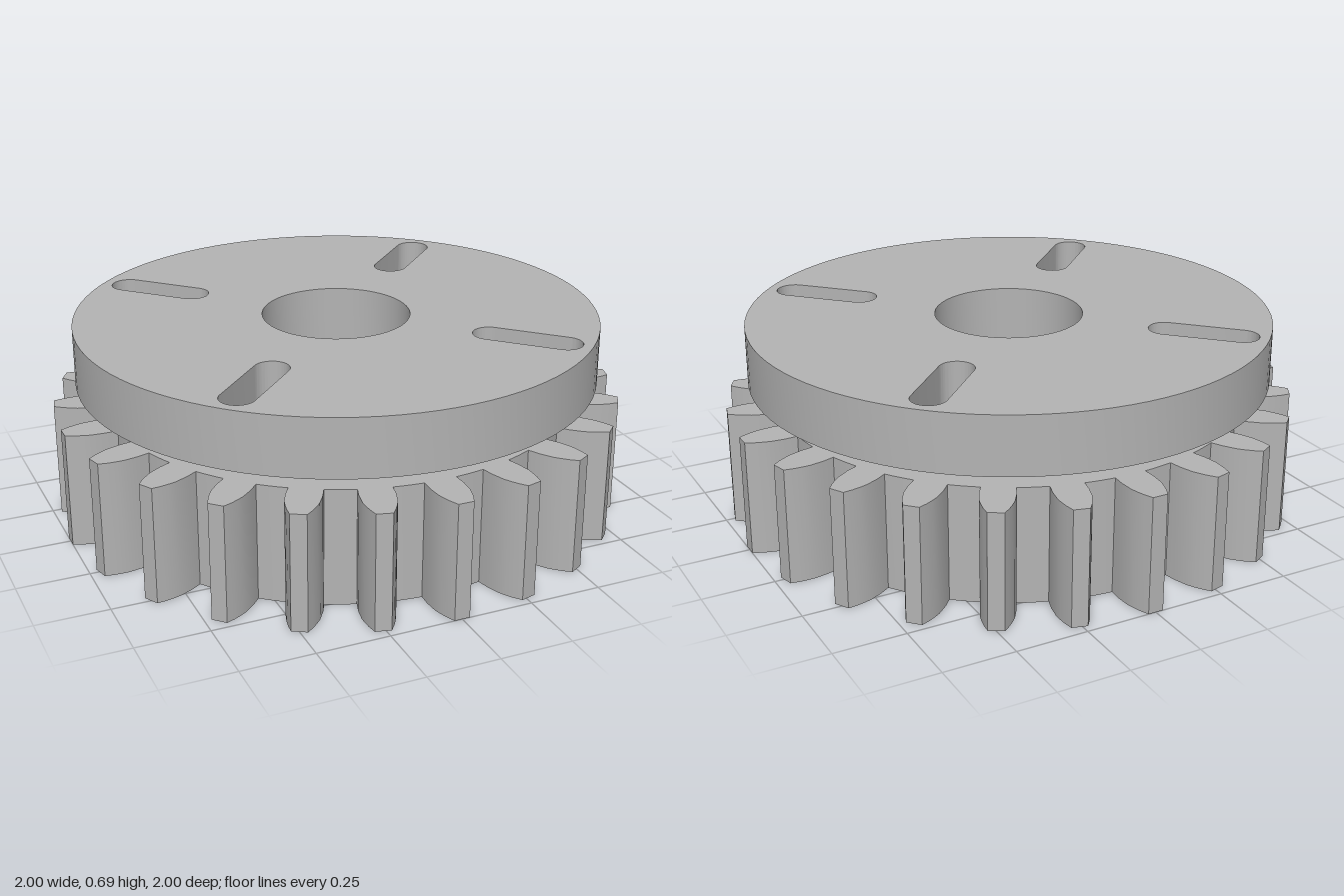
import * as THREE from 'three';
import { toCreasedNormals } from 'three/addons/utils/BufferGeometryUtils.js';

const TEETH = 24, BORE = 0.26, DISC_R = 0.92, HUB_R = 0.512;
const SLOT_IN = 0.563, SLOT_OUT = 0.825, SLOT_R = 0.06;

const polar = (r, a) => new THREE.Vector2(r * Math.cos(a), r * Math.sin(a));

// Adds the central bore to a flat outline
function withBore(shape) {
  shape.holes.push(new THREE.Path().absarc(0, 0, BORE, 0, Math.PI * 2, true));
  return shape;
}

// Stands a flat outline up between two heights
function slab(name, shape, y0, y1, material) {
  let geo = new THREE.ExtrudeGeometry(shape, { depth: y1 - y0, bevelEnabled: false, curveSegments: 48 });
  geo.rotateX(-Math.PI / 2).translate(0, y0, 0);
  geo = toCreasedNormals(geo, 0.5);
  const mesh = new THREE.Mesh(geo, material);
  mesh.name = name;
  return mesh;
}

// Spur gear outline: [radius, half width] up one tooth flank, mirrored down the other
function gearShape() {
  const flank = [[0.827, 0.056], [0.87, 0.0585], [0.92, 0.055], [0.945, 0.0485], [0.97, 0.0405], [1, 0.027]];
  const pitch = Math.PI * 2 / TEETH;
  const rootHalf = Math.asin(flank[0][1] / flank[0][0]);
  const pts = [];
  for (let i = 0; i < TEETH; i++) {
    const a = i * pitch;
    for (const [r, w] of flank) pts.push(polar(r, a - Math.asin(w / r)));
    for (const [r, w] of [...flank].reverse()) pts.push(polar(r, a + Math.asin(w / r)));
    // rounded floor of the gap
    for (let k = 1; k < 4; k++) {
      pts.push(polar(flank[0][0], a + rootHalf + (pitch - 2 * rootHalf) * k / 4));
    }
  }
  return withBore(new THREE.Shape(pts));
}

// Disc with four radial slots on the diagonals
function discShape() {
  const shape = new THREE.Shape().absarc(0, 0, DISC_R, 0, Math.PI * 2, false);
  for (let i = 0; i < 4; i++) {
    const a = Math.PI / 4 + i * Math.PI / 2;
    const p = polar(SLOT_IN, a), q = polar(SLOT_OUT, a);
    const slot = new THREE.Path();
    slot.absarc(q.x, q.y, SLOT_R, a - Math.PI / 2, a + Math.PI / 2, false);
    slot.absarc(p.x, p.y, SLOT_R, a + Math.PI / 2, a + Math.PI * 1.5, false);
    slot.closePath();
    shape.holes.push(slot);
  }
  return withBore(shape);
}

// Hub circle bitten by the inner ends of the slots
function notchedHubShape() {
  const half = Math.acos((SLOT_IN ** 2 + HUB_R ** 2 - SLOT_R ** 2) / (2 * SLOT_IN * HUB_R));
  const bite = Math.asin(HUB_R * Math.sin(half) / SLOT_R);
  const pts = [];
  for (let i = 0; i < 4; i++) {
    const a = Math.PI / 4 + i * Math.PI / 2;
    const c = polar(SLOT_IN, a);
    for (let k = 0; k <= 8; k++) {
      pts.push(polar(SLOT_R, a + Math.PI + bite * (1 - k / 4)).add(c));
    }
    for (let k = 1; k < 16; k++) {
      pts.push(polar(HUB_R, a + half + (Math.PI / 2 - 2 * half) * k / 16));
    }
  }
  return withBore(new THREE.Shape(pts));
}

export function createModel() {
  const group = new THREE.Group();
  group.name = 'slottedGear';
  const steel = new THREE.MeshStandardMaterial({ color: 0xb4b4b4 });
  steel.name = 'steelGrey';

  const hubCircle = withBore(new THREE.Shape().absarc(0, 0, HUB_R, 0, Math.PI * 2, false));
  group.add(
    slab('toothedWheel', gearShape(), 0, 0.41, steel),
    slab('hub', hubCircle, 0.41, 0.465, steel),
    slab('notchedHubRim', notchedHubShape(), 0.465, 0.49, steel),
    slab('slottedDisc', discShape(), 0.49, 0.695, steel),
  );
  return group;
}
